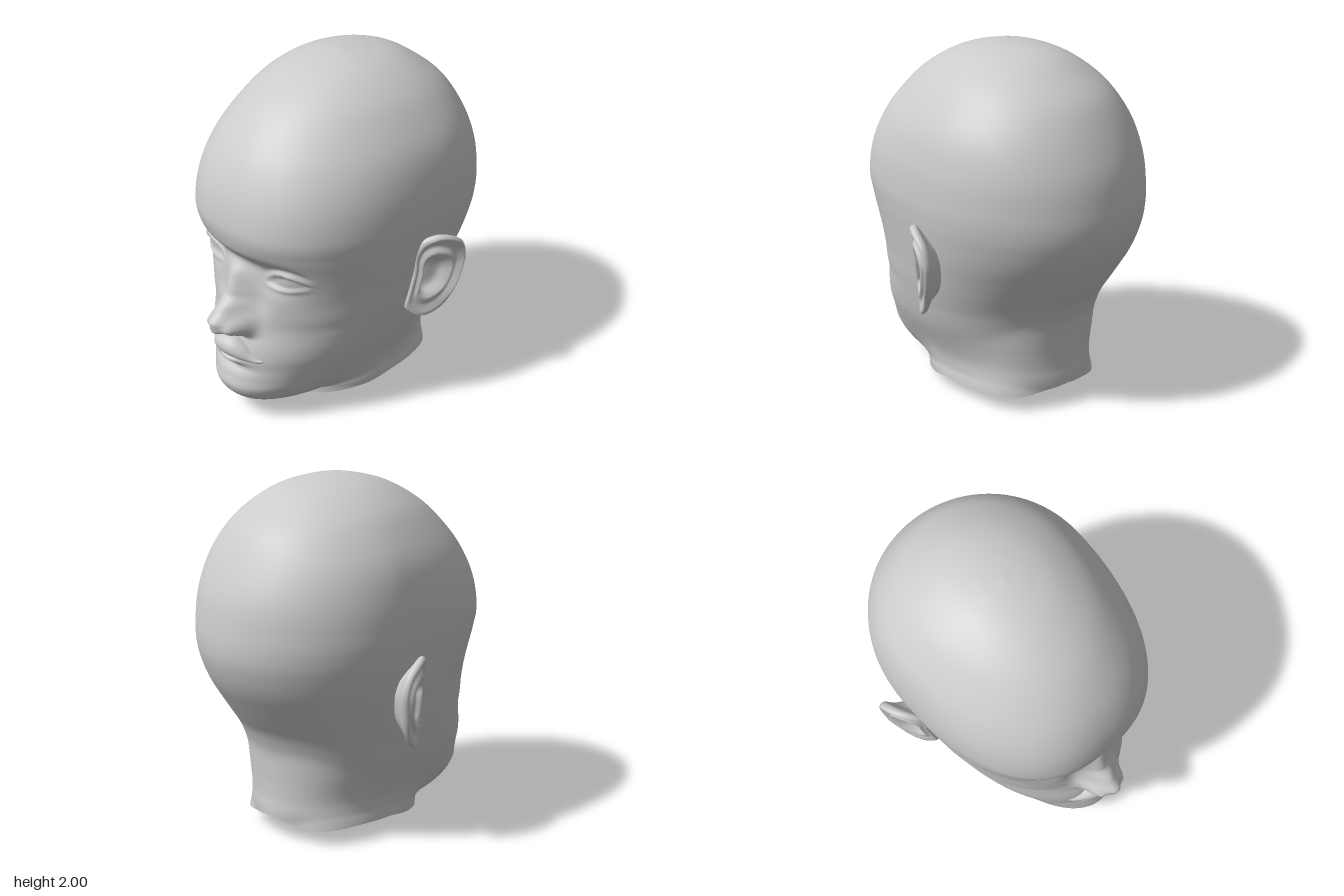
import * as THREE from 'three';
import { mergeVertices } from 'three/addons/utils/BufferGeometryUtils.js';

const material = new THREE.MeshStandardMaterial({ color: 0xcccccc, side: THREE.DoubleSide });
const bump = (d, s) => Math.exp(-((d / s) ** 2));
const { smoothstep, lerp } = THREE.MathUtils;

// Smooth interpolation through rows of numbers; t counts rows
function sample(rows, t) {
  const last = rows.length - 1;
  const i = Math.min(Math.floor(t), last - 1), u = t - i;
  const at = k => rows[Math.max(0, Math.min(last, k))];
  const [a, b, c, d] = [at(i - 1), at(i), at(i + 1), at(i + 2)];
  return b.map((p, k) => p + 0.5 * u * (c[k] - a[k]
    + u * (2 * a[k] - 5 * p + 4 * c[k] - d[k] + u * (3 * (p - c[k]) + d[k] - a[k]))));
}

// Eased lookup in [key, value] pairs with rising keys
function lookup(pairs, x) {
  for (let i = 1; i < pairs.length; i++) {
    const [x0, v0] = pairs[i - 1], [x1, v1] = pairs[i];
    if (x >= x0 && x <= x1) return lerp(v0, v1, smoothstep(x, x0, x1) * 0.4 + (x - x0) / (x1 - x0) * 0.6);
  }
  return x < pairs[0][0] ? pairs[0][1] : pairs[pairs.length - 1][1];
}

// Surface of loops: point(i / rows, j / cols), closed in j
function loft(name, rows, cols, point) {
  const pos = [], index = [];
  for (let i = 0; i <= rows; i++)
    for (let j = 0; j < cols; j++) pos.push(...point(i / rows, j / cols));
  for (let i = 0; i < rows; i++)
    for (let j = 0; j < cols; j++) {
      const k = (j + 1) % cols, a = i * cols + j, b = a + cols, c = (i + 1) * cols + k, d = i * cols + k;
      index.push(a, b, c, a, c, d);
    }
  let geo = new THREE.BufferGeometry();
  geo.setAttribute('position', new THREE.Float32BufferAttribute(pos, 3));
  geo.setIndex(index);
  geo = mergeVertices(geo, 1e-5);
  geo.computeVertexNormals();
  const mesh = new THREE.Mesh(geo, material);
  mesh.name = name;
  return mesh;
}

// Head sections: y, half width, front z, back z, z of widest point, roundness
const SECTIONS = [
  [2, 0, -0.07, -0.07, -0.07, 2], [1.985, 0.13, 0.05, -0.25, -0.08, 2],
  [1.94, 0.27, 0.22, -0.43, -0.1, 2], [1.85, 0.41, 0.4, -0.58, -0.13, 2],
  [1.74, 0.51, 0.54, -0.71, -0.16, 2.05], [1.58, 0.605, 0.67, -0.81, -0.19, 2.2],
  [1.4, 0.65, 0.75, -0.885, -0.2, 2.4], [1.22, 0.66, 0.78, -0.915, -0.2, 2.5],
  [1.1, 0.652, 0.762, -0.915, -0.19, 2.45], [1, 0.637, 0.738, -0.89, -0.17, 2.4],
  [0.9, 0.62, 0.724, -0.845, -0.14, 2.3], [0.8, 0.6, 0.72, -0.78, -0.1, 2.2],
  [0.7, 0.58, 0.724, -0.71, -0.06, 2.15], [0.63, 0.563, 0.73, -0.66, -0.04, 2.1],
  [0.57, 0.547, 0.742, -0.63, -0.02, 2.1], [0.5, 0.528, 0.765, -0.605, -0.01, 2.1],
  [0.43, 0.505, 0.78, -0.592, 0, 2.1], [0.36, 0.475, 0.787, -0.585, 0, 2.1],
  [0.29, 0.44, 0.805, -0.583, -0.01, 2.1], [0.22, 0.4, 0.815, -0.585, -0.02, 2.15],
  [0.15, 0.355, 0.775, -0.595, -0.04, 2.2], [0.1, 0.31, 0.69, -0.602, -0.06, 2.2],
  [0.06, 0.26, 0.48, -0.607, -0.08, 2.2], [-0.02, 0.2, 0.36, -0.615, -0.08, 2.2],
];
// Height of the open neck edge by angle from the front, in degrees
const NECK_EDGE = [[0, 0], [30, 0.035], [60, 0.065], [90, 0.095], [120, 0.1], [145, 0.085], [180, 0.13]];
const NOSE = [[0.55, 0], [0.57, 0.06], [0.585, 0.12], [0.61, 0.172], [0.67, 0.19], [0.74, 0.128],
  [0.8, 0.062], [0.92, 0.03], [1.03, 0]];

// Forward offset of the face at a point
function faceRelief(x, y) {
  const ax = Math.abs(x);
  let d = 0;
  // nose ridge, root, wings and nostrils
  const half = lerp(0.092, 0.058, smoothstep(y, 0.65, 0.9));
  d += lookup(NOSE, y) * Math.exp(-(Math.abs(ax / half) ** 2.2));
  d -= 0.04 * bump(ax, 0.16) * bump(y - 1.0, 0.055);
  d -= 0.02 * bump(ax - 0.15, 0.06) * bump(y - 0.8, 0.1);
  d += 0.075 * bump(ax - 0.095, 0.038) * bump(y - 0.632, 0.05);
  d -= 0.06 * bump(ax - 0.05, 0.022) * bump(y - 0.585, 0.018);
  // eye sockets, eyeballs and lids
  d -= 0.07 * bump(ax - 0.23, 0.15) * bump(y - 0.955, 0.09);
  const a = (ax - 0.295) / 0.13, lens = Math.max(0, 1 - a * a);
  const mid = 0.92 + 0.01 * a, up = mid + 0.062 * lens, low = mid - 0.022 * lens;
  d += 0.035 * bump(ax - 0.29, 0.1) * bump(y - 0.945, 0.055);
  const edge = Math.sqrt(lens);
  d += edge * (0.018 * bump(y - up - 0.01, 0.016) + 0.01 * bump(y - low + 0.01, 0.014));
  d -= edge * 0.01 * bump(y - up - 0.045, 0.018);
  if (y < up && y > low) d -= 0.008 * edge;
  // lower lip and the hollow under it
  d += 0.036 * bump(y - 0.402, 0.026) * bump(ax, 0.09);
  d -= 0.016 * bump(y - 0.355, 0.025) * bump(ax, 0.12);
  return d;
}

// Distance from the section's centre to its edge
const reach = (s, c, w, depth, n) => ((Math.abs(s) / w) ** n + (Math.abs(c) / depth) ** n) ** (-1 / n);

function headPoint(v, u) {
  const side = u < 0.5 ? 1 : -1;
  const h = Math.min(u, 1 - u) * 2;
  const phi = Math.PI * h * (0.5 + 0.5 * h);
  // end each column at the neck edge
  const edge = lookup(NECK_EDGE, phi * 180 / Math.PI);
  let lo = 18, hi = SECTIONS.length - 1;
  for (let k = 0; k < 25; k++) {
    const m = (lo + hi) / 2;
    if (sample(SECTIONS, m)[0] > edge) lo = m; else hi = m;
  }
  const [y, w, f, b, zc, n] = sample(SECTIONS, v * lo);
  if (v === 0) return [0, 2, -0.07];
  const s = Math.sin(phi), c = Math.cos(phi), front = c > 0;
  let r = reach(s, c, w, front ? f - zc : zc - b, front ? n : 2);
  if (y < 0.7) {
    // neck joined softly to the jaw
    const neckW = 0.385 + 0.035 * smoothstep(-y, -0.3, -0.08);
    const neck = reach(s, c, neckW, front ? 0.4 - zc : zc - b - 0.03, front ? 2.1 : 2.7);
    const k = 0.005 + 0.085 * smoothstep(-y, -0.62, -0.35) * smoothstep(y, 0.02, 0.2);
    const t = Math.max(0, k - Math.abs(r - neck)) / k;
    r = Math.max(r, neck) + t * t * k / 4;
  }
  const x = side * r * s, z = zc + r * c;
  return [x, y, z + (front ? faceRelief(x, y) * smoothstep(z, 0.25, 0.5) : 0)];
}

// Ear outline as z, y: top, front, lobe, back
const EAR = [[-0.14, 1.09], [-0.065, 1.06], [-0.035, 0.98], [-0.035, 0.86], [-0.025, 0.72], [-0.025, 0.61],
  [-0.09, 0.56], [-0.18, 0.6], [-0.255, 0.69], [-0.3, 0.83], [-0.31, 0.93], [-0.27, 1.03]];
// Ear cross-section: share of the outline, height off the ear's plane
const EAR_PROFILE = [[0, -0.045], [0.3, -0.042], [0.46, -0.01], [0.58, 0.01], [0.72, -0.012], [0.84, 0.004],
  [0.93, 0.018], [1, 0], [0.99, -0.025], [0.9, -0.045], [0.78, -0.07], [0.6, -0.14]];
const earCurve = new THREE.CatmullRomCurve3(EAR.map(([z, y]) => new THREE.Vector3(0, y, z)), true);

function earPoint(v, u) {
  const [share, h] = sample(EAR_PROFILE, v * (EAR_PROFILE.length - 1));
  const p = earCurve.getPoint(u);
  const z = lerp(-0.115, p.z, share), y = lerp(0.83, p.y, share), d = -z - 0.03;
  // shallow relief at the lobe and where the ear meets the cheek
  const calm = lerp(0.4, 1, smoothstep(y, 0.62, 0.76)) * lerp(0.35, 1, smoothstep(-z, 0.03, 0.11));
  const relief = v < 0.6 ? h * calm : h;
  return [0.605 + 0.1 * (y - 0.8) + d * (0.85 - 1.5 * d) + relief, y, z];
}

// Moustache: distance from the middle, centre height, half height, half depth
const MOUSTACHE = [[0, 0.482, 0.062, 0.066], [0.05, 0.476, 0.058, 0.062], [0.1, 0.458, 0.045, 0.05],
  [0.145, 0.436, 0.024, 0.033], [0.185, 0.424, 0.013, 0.022], [0.225, 0.437, 0.002, 0.004]];

function moustachePoint(v, u) {
  const t = Math.abs(v - 0.5) * 2 * (MOUSTACHE.length - 1);
  const [x, y, ry, rz] = sample(MOUSTACHE, t);
  const a = u * Math.PI * 2;
  return [Math.sign(v - 0.5) * x, y + ry * Math.sin(a), 0.777 - 1.6 * x * x + rz * Math.cos(a)];
}

export function createModel() {
  const group = new THREE.Group();
  group.name = 'head';
  group.add(loft('headAndNeck', 200, 180, headPoint));
  group.add(loft('moustache', 48, 24, moustachePoint));
  const leftEar = loft('leftEar', 44, 64, earPoint);
  const rightEar = leftEar.clone();
  rightEar.name = 'rightEar';
  rightEar.scale.x = -1;
  group.add(leftEar, rightEar);
  return group;
}
